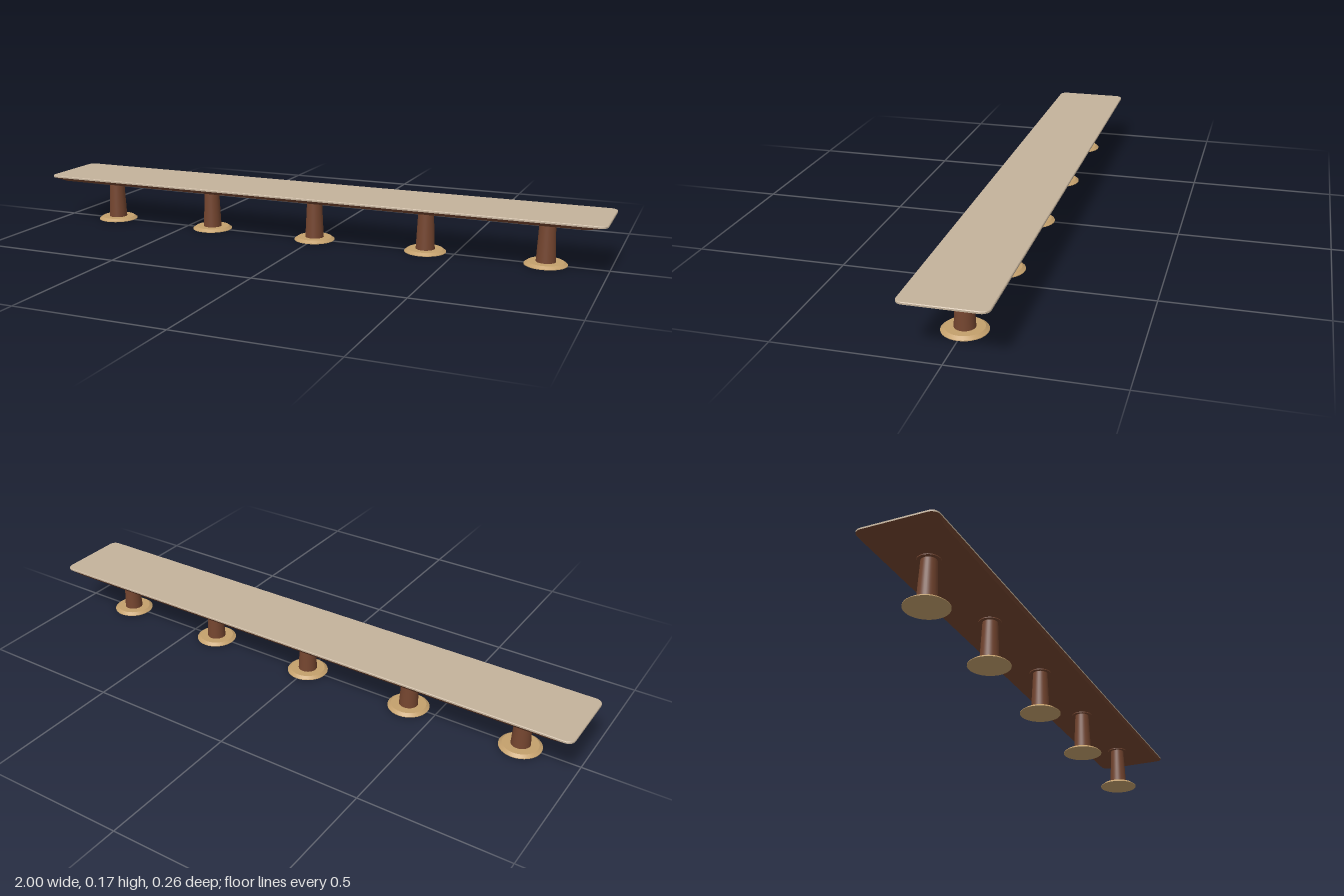
import * as THREE from 'three';
import { toCreasedNormals } from 'three/addons/utils/BufferGeometryUtils.js';

const material = (name, color) => {
  const m = new THREE.MeshStandardMaterial({ color });
  m.name = name;
  return m;
};

// Rounded rectangle outline at height y, running from +x towards +z
function outline(hx, hz, r, y, steps = 6) {
  const pts = [];
  [[1, 1], [-1, 1], [-1, -1], [1, -1]].forEach(([sx, sz], corner) => {
    for (let i = 0; i <= steps; i++) {
      const a = (corner + i / steps) * Math.PI / 2;
      pts.push(new THREE.Vector3(sx * (hx - r) + r * Math.cos(a), y, sz * (hz - r) + r * Math.sin(a)));
    }
  });
  return pts;
}

// Skin through outlines from bottom to top, with optional end caps
function loft(rings, capBottom, capTop) {
  const tris = [];
  const n = rings[0].length;
  const last = rings[rings.length - 1];
  for (let i = 0; i < n; i++) {
    const j = (i + 1) % n;
    for (let k = 0; k + 1 < rings.length; k++) {
      const lo = rings[k], hi = rings[k + 1];
      tris.push(lo[i], hi[i], lo[j], lo[j], hi[i], hi[j]);
    }
    if (capBottom) tris.push(new THREE.Vector3(0, rings[0][0].y, 0), rings[0][i], rings[0][j]);
    if (capTop) tris.push(new THREE.Vector3(0, last[0].y, 0), last[j], last[i]);
  }
  return toCreasedNormals(new THREE.BufferGeometry().setFromPoints(tris), 0.5);
}

export function createModel() {
  const stone = material('pale stone', 0xc4b29b);
  const wood = material('brown wood', 0x74452f);
  const brass = material('tan brass', 0xc4a06c);

  const model = new THREE.Group();
  model.name = 'longTable';
  const add = (parent, name, geometry, mat, y = 0) => {
    const mesh = new THREE.Mesh(geometry, mat);
    mesh.name = name;
    mesh.position.y = y;
    parent.add(mesh);
  };

  // Table top: pale slab over a bevelled wooden underside
  const seam = outline(1, 0.131, 0.025, 0.165);
  add(model, 'tableTop', loft([
    seam,
    outline(1, 0.131, 0.025, 0.17),
    outline(0.998, 0.129, 0.023, 0.172),
  ], false, true), stone);
  add(model, 'underside', loft([
    outline(0.95, 0.123, 0.02, 0.155),
    seam,
  ], true, false), wood);

  // Five tapered pedestals
  const baseProfile = [[0, 0], [0.07, 0], [0.07, 0.002], [0.059, 0.01], [0, 0.01]]
    .map(([r, y]) => new THREE.Vector2(r, y));
  const baseGeometry = toCreasedNormals(new THREE.LatheGeometry(baseProfile, 32), 0.4);
  const columnGeometry = new THREE.CylinderGeometry(0.025, 0.032, 0.145, 32);
  const collarGeometry = new THREE.CylinderGeometry(0.037, 0.037, 0.004, 32);
  for (let i = -2; i <= 2; i++) {
    const pedestal = new THREE.Group();
    pedestal.name = 'pedestal';
    pedestal.position.x = i * 0.4;
    add(pedestal, 'base', baseGeometry, brass);
    add(pedestal, 'column', columnGeometry, wood, 0.0815);
    add(pedestal, 'collar', collarGeometry, wood, 0.154);
    model.add(pedestal);
  }
  return model;
}
